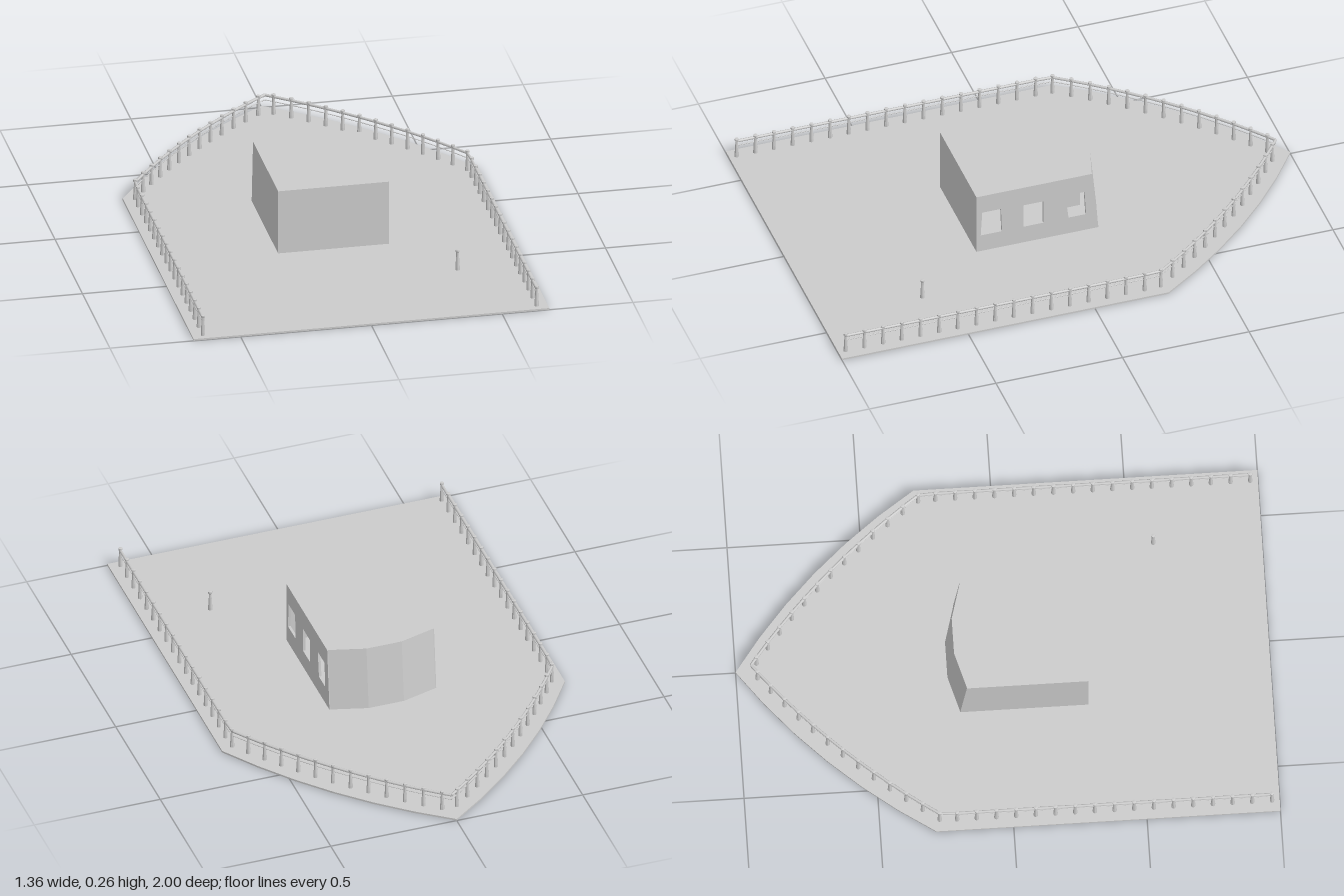
import * as THREE from 'three';
import { ConvexGeometry } from 'three/addons/geometries/ConvexGeometry.js';

const V = (x, y, z) => new THREE.Vector3(x, y, z);
const mat = new THREE.MeshStandardMaterial({ color: 0xcccccc });
const flat = new THREE.MeshStandardMaterial({ color: 0xcccccc, flatShading: true });

function add(parent, name, geometry, material = flat) {
  const mesh = new THREE.Mesh(geometry, material);
  mesh.name = name;
  parent.add(mesh);
  return mesh;
}

// Straight round bar between two points
function bar(parent, name, a, b, r) {
  const mesh = add(parent, name, new THREE.CylinderGeometry(r, r, a.distanceTo(b), 8), mat);
  mesh.position.copy(a).lerp(b, 0.5);
  mesh.quaternion.setFromUnitVectors(V(0, 1, 0), b.clone().sub(a).normalize());
}

// Flat plate from plan points [x, z], bottom at y
function plate(points, y, thickness) {
  const shape = new THREE.Shape(points.map(([x, z]) => new THREE.Vector2(x, -z)));
  return new THREE.ExtrudeGeometry(shape, { depth: thickness, bevelEnabled: false })
    .rotateX(-Math.PI / 2).translate(0, y, 0);
}

const DECK = 0.007;

function buildDeck(group) {
  const bow = new THREE.QuadraticBezierCurve(
    new THREE.Vector2(0.68, -0.29), new THREE.Vector2(0.41, -0.715), new THREE.Vector2(0, -1));
  const side = bow.getPoints(6).map((p) => [p.x, p.y]);
  const mirrored = side.slice(0, -1).reverse().map(([x, z]) => [-x, z]);
  add(group, 'deck', plate([[0.68, 1], ...side, ...mirrored, [-0.68, 1]], 0, DECK));
}

function buildCabin(group) {
  const cabin = new THREE.Group();
  cabin.name = 'cabin';
  group.add(cabin);
  const W = 0.212, T = 0.01, H = 0.262, front = 0.311;

  // Side walls: only one has window openings
  for (const s of [1, -1]) {
    const wall = new THREE.Shape([[front, DECK], [front, H], [-0.146, H], [-0.171, DECK]]
      .map(([z, y]) => new THREE.Vector2(-z, y)));
    if (s > 0) {
      const windows = [
        [[0.294, 0.08], [0.21, 0.08], [0.214, 0.185], [0.288, 0.185]],
        [[0.125, 0.08], [0.046, 0.08], [0.046, 0.18], [0.125, 0.18]],
        [[-0.053, 0.08], [-0.122, 0.08], [-0.116, 0.185], [-0.04, 0.185]],
      ];
      for (const w of windows) {
        wall.holes.push(new THREE.Path(w.map(([z, y]) => new THREE.Vector2(-z, y))));
      }
    }
    const geo = new THREE.ExtrudeGeometry(wall, { depth: T, bevelEnabled: false })
      .rotateY(Math.PI / 2).translate(s > 0 ? W - T : -W, 0, 0);
    add(cabin, s > 0 ? 'windowWall' : 'plainWall', geo);
  }

  // Entry end wall
  add(cabin, 'endWall', new THREE.BoxGeometry(2 * (W - T), H - DECK, T))
    .position.set(0, (H + DECK) / 2, front - T / 2);

  // Leaning faceted windscreen wall
  const plan = [[-W, -0.17], [-0.07, -0.21], [0.07, -0.21], [W, -0.17]];
  for (let i = 0; i < 3; i++) {
    const corners = [];
    for (const [x, z] of [plan[i], plan[i + 1]]) {
      for (const d of [0, T]) {
        corners.push(V(x, DECK, z + d), V(x, H, z + 0.025 + d));
      }
    }
    add(cabin, 'windscreenPanel', new ConvexGeometry(corners));
  }

  // Roof
  const roof = [[W, front], ...plan.slice().reverse().map(([x, z]) => [x, z + 0.025]), [-W, front]];
  add(cabin, 'roof', plate(roof, H - 0.006, 0.0065));

  // Helm console with a lever
  add(cabin, 'console', new THREE.BoxGeometry(0.12, 0.075, 0.06)).position.set(0, 0.045, -0.12);
  bar(cabin, 'lever', V(0, 0.08, -0.095), V(0, 0.135, -0.068), 0.003);
}

function buildRailing(group) {
  const railing = new THREE.Group();
  railing.name = 'railing';
  group.add(railing);

  const profile = [[0, 0], [0.0085, 0], [0.0085, 0.012], [0.0055, 0.06], [0.0055, 0.072],
    [0.008, 0.075], [0.008, 0.082], [0, 0.083]].map(([x, y]) => new THREE.Vector2(x, y));
  const postGeo = new THREE.LatheGeometry(profile, 8);
  const post = (x, z, name = 'post') => add(railing, name, postGeo).position.set(x, DECK, z);

  // Post positions: straight side, then along the curved bow
  const spots = [];
  for (let i = 0; i < 17; i++) spots.push([0.638, 0.971 - i * 0.0738]);
  const bow = new THREE.QuadraticBezierCurve(
    new THREE.Vector2(0.635, -0.275), new THREE.Vector2(0.37, -0.66), new THREE.Vector2(0, -0.942));
  for (let i = 0; i <= 12; i++) {
    const p = bow.getPointAt(i / 12.5);
    spots.push([p.x, p.y]);
  }
  for (const s of [1, -1]) {
    spots.forEach(([x, z], i) => {
      post(s * x, z);
      const [nx, nz] = spots[i + 1] ?? [0, -0.942];
      bar(railing, 'topRail', V(s * x, 0.078, z), V(s * nx, 0.078, nz), 0.0055);
      bar(railing, 'lowerRail', V(s * x, 0.058, z), V(s * nx, 0.058, nz), 0.0018);
    });
  }
  // Lone post on the open deck
  post(0.415, 0.593, 'lonePost');
}

export function createModel() {
  const group = new THREE.Group();
  group.name = 'boatDeck';
  buildDeck(group);
  buildCabin(group);
  buildRailing(group);
  return group;
}
